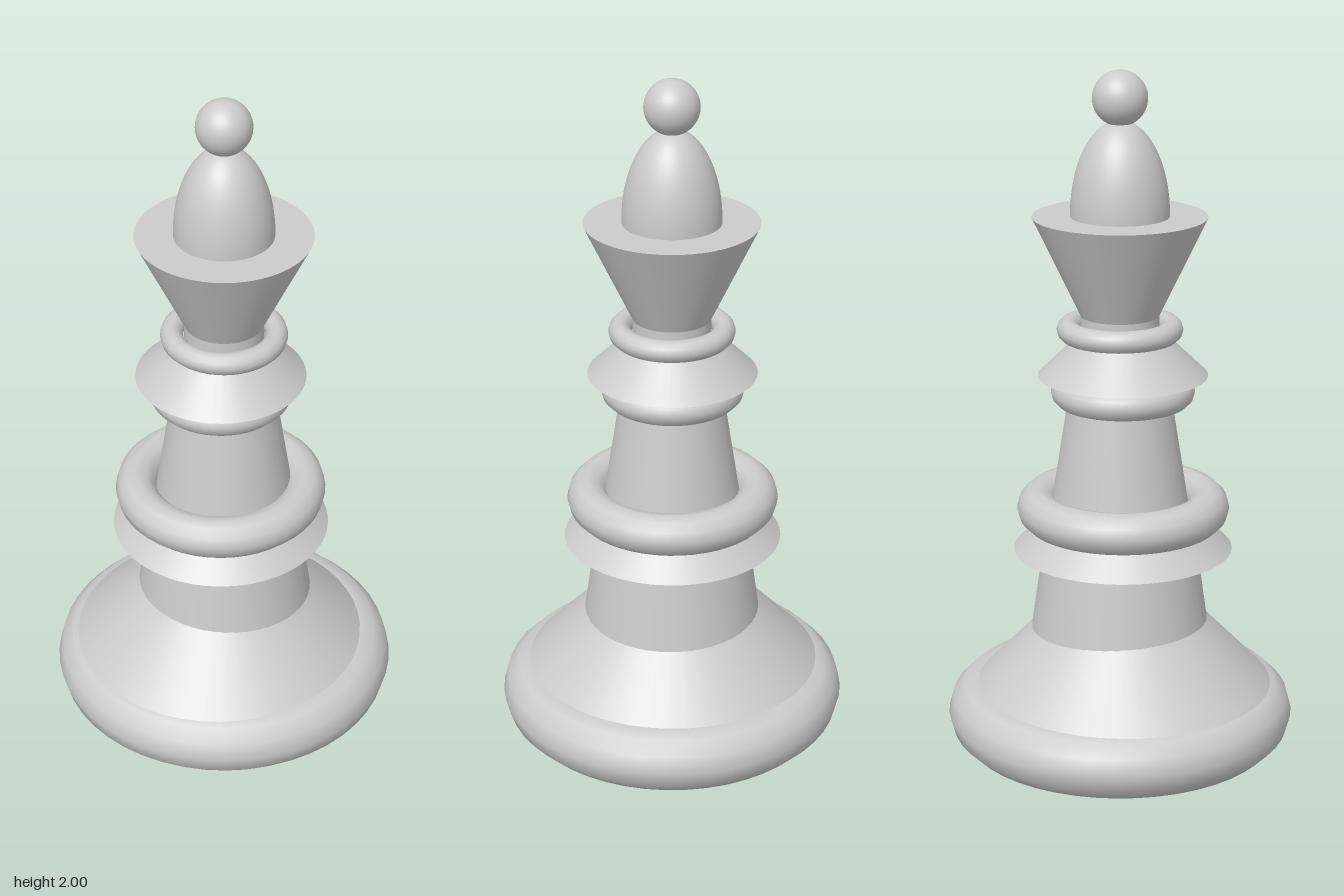
import * as THREE from 'three';

const SEG = 48;

export function createModel() {
  const group = new THREE.Group();
  const material = new THREE.MeshStandardMaterial({ color: 0xcccccc });

  function add(name, geometry, x, y) {
    const mesh = new THREE.Mesh(geometry, material);
    mesh.name = name;
    mesh.position.set(x, y, 0);
    group.add(mesh);
    return mesh;
  }

  // Solid cone section between two heights
  function frustum(name, y0, r0, y1, r1, x = 0) {
    add(name, new THREE.CylinderGeometry(r1, r0, y1 - y0, SEG), x, (y0 + y1) / 2);
  }

  // Horizontal rounded ring
  function ring(name, y, radius, tube, x = 0, sides = 12) {
    const geometry = new THREE.TorusGeometry(radius, tube, sides, SEG);
    geometry.rotateX(-Math.PI / 2);
    add(name, geometry, x, y);
  }

  // Base
  frustum('footDisc', 0, 0.32, 0.15, 0.32);
  ring('baseRing', 0.105, 0.41, 0.097);
  frustum('baseSlope', 0.15, 0.475, 0.42, 0.215, -0.012);

  // Lower stem with its skirt and collar
  frustum('lowerStem', 0.3, 0.268, 0.66, 0.217);
  frustum('lowerSkirt', 0.61, 0.317, 0.735, 0.19, -0.01);
  ring('lowerCollar', 0.735, 0.247, 0.06, -0.011);

  // Upper stem with its rings and skirt
  frustum('upperStem', 0.7, 0.205, 1.08, 0.145);
  ring('upperCollar', 1.083, 0.164, 0.042, -0.01);
  frustum('collarNeck', 1.07, 0.14, 1.14, 0.14);
  frustum('upperSkirt', 1.13, 0.243, 1.25, 0.12, -0.01);
  ring('neckRing', 1.263, 0.148, 0.032);
  frustum('neck', 1.2, 0.112, 1.31, 0.112);

  // Crown cup, dome and finial
  frustum('crownCup', 1.3, 0.11, 1.59, 0.248);
  const dome = new THREE.SphereGeometry(0.14, SEG, 16, 0, Math.PI * 2, 0, Math.PI / 2);
  dome.scale(1, 0.265 / 0.14, 1);
  add('crownDome', dome, 0, 1.595);
  frustum('domeFoot', 1.58, 0.14, 1.595, 0.14);
  add('finialBall', new THREE.SphereGeometry(0.078, 32, 20), 0, 1.922);

  return group;
}
